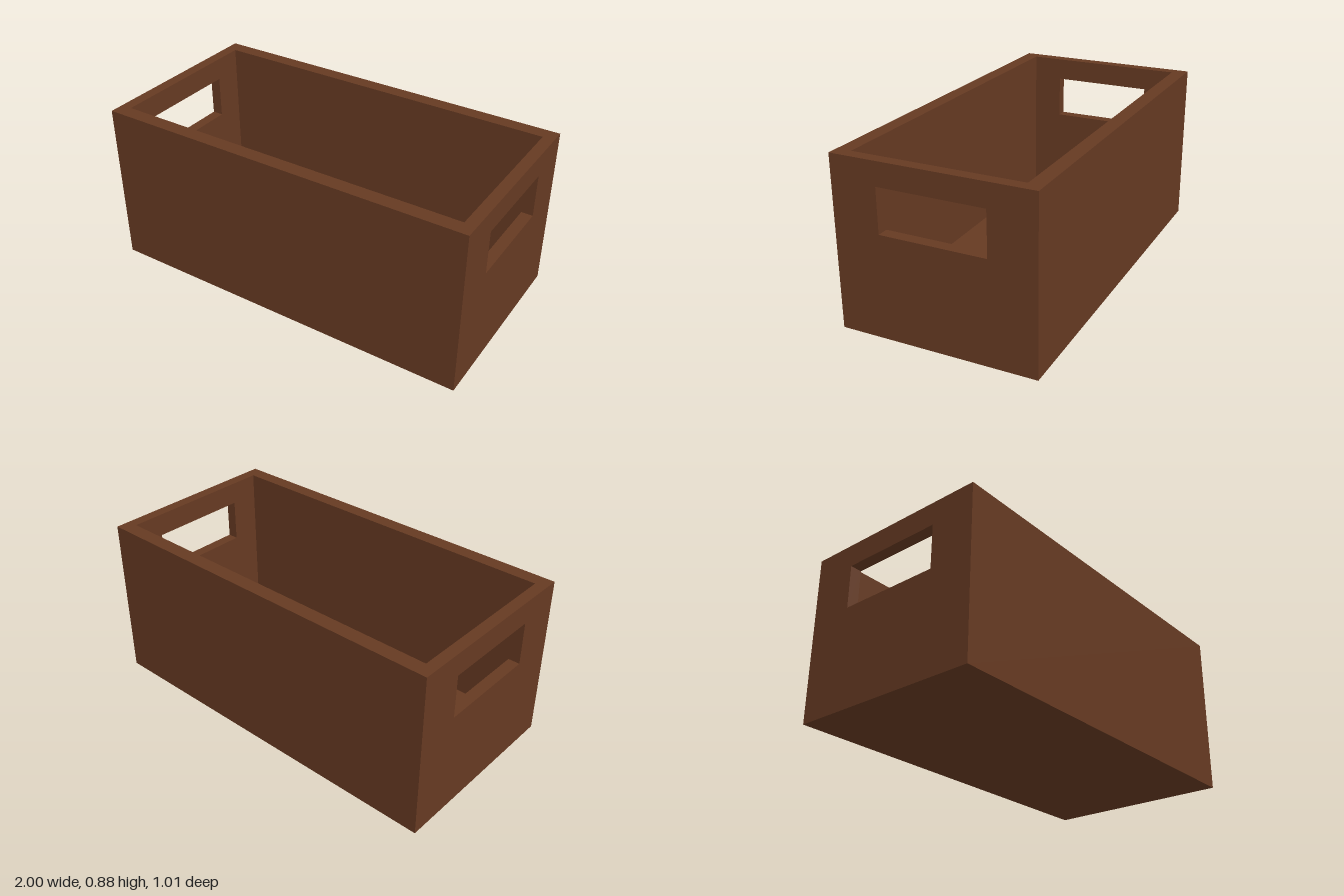
import * as THREE from 'three';

const LENGTH = 2, DEPTH = 1.014, HEIGHT = 0.876;
const SIDE = 0.076; // thickness of the long walls
const END = 0.06; // thickness of the end walls
const FLOOR = 0.07;

export function createModel() {
  const crate = new THREE.Group();
  crate.name = 'crate';
  const wood = new THREE.MeshStandardMaterial({ color: 0x663a22 });
  wood.name = 'brown wood';

  const add = (name, geometry, x, y, z) => {
    const mesh = new THREE.Mesh(geometry, wood);
    mesh.name = name;
    mesh.position.set(x, y, z);
    crate.add(mesh);
    return mesh;
  };

  // Long walls run the full length
  const longWall = new THREE.BoxGeometry(LENGTH, HEIGHT, SIDE);
  const zWall = (DEPTH - SIDE) / 2;
  add('frontWall', longWall, 0, HEIGHT / 2, zWall);
  add('backWall', longWall, 0, HEIGHT / 2, -zWall);

  // End walls fit between them, each with a rectangular hand hole
  const half = DEPTH / 2 - SIDE;
  const rectangle = (Type, w, y0, y1) => new Type([
    new THREE.Vector2(-w, y0), new THREE.Vector2(w, y0),
    new THREE.Vector2(w, y1), new THREE.Vector2(-w, y1),
  ]);
  const panel = rectangle(THREE.Shape, half, 0, HEIGHT);
  panel.holes.push(rectangle(THREE.Path, 0.271, 0.528, 0.756));
  const endWall = new THREE.ExtrudeGeometry(panel, { depth: END, bevelEnabled: false });
  endWall.translate(0, 0, -END / 2).rotateY(Math.PI / 2);
  const xWall = (LENGTH - END) / 2;
  add('leftEndWall', endWall, xWall, 0, 0);
  add('rightEndWall', endWall, -xWall, 0, 0);

  // Floor fills the space between the four walls
  add('floor', new THREE.BoxGeometry(LENGTH - 2 * END, FLOOR, 2 * half), 0, FLOOR / 2, 0);

  return crate;
}
